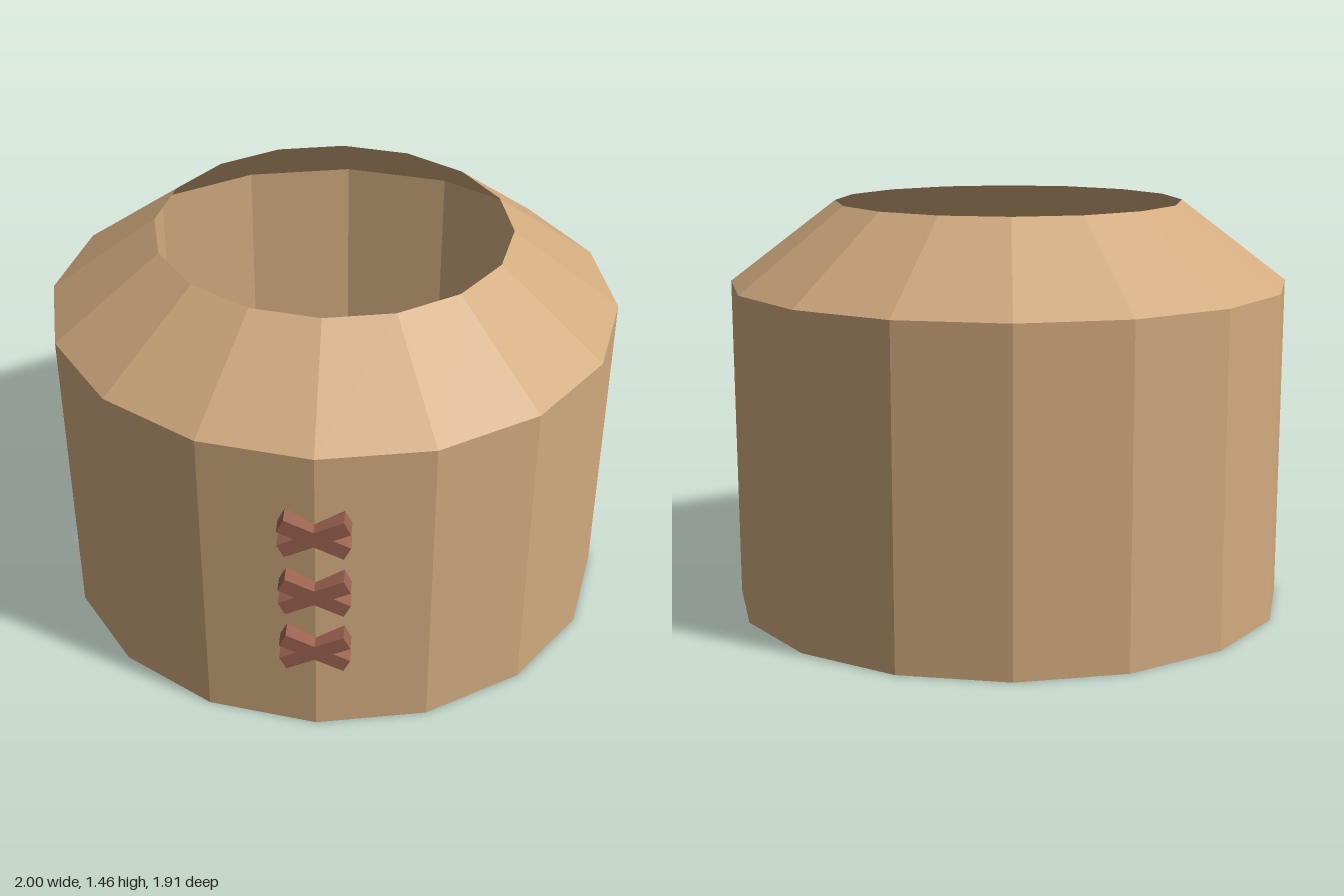
import * as THREE from 'three';

const SIDES = 16;
const DEPTH = 0.935;     // the ring is slightly flattened front to back
const OFFSET_Z = -0.022; // leaves room for the stitches in front

export function createModel() {
  const model = new THREE.Group();
  model.name = 'stitchedCollar';

  const leather = new THREE.MeshStandardMaterial({ color: 0xd2ab7f, flatShading: true, side: THREE.DoubleSide });
  leather.name = 'tan leather';
  const thread = new THREE.MeshStandardMaterial({ color: 0x9b6350, flatShading: true });
  thread.name = 'red brown thread';

  // Open, single-layer faceted bands
  function band(name, topRadius, bottomRadius, y0, y1) {
    const geometry = new THREE.CylinderGeometry(topRadius, bottomRadius, y1 - y0, SIDES, 1, true);
    geometry.scale(1, 1, DEPTH);
    geometry.translate(0, (y0 + y1) / 2, OFFSET_Z);
    const mesh = new THREE.Mesh(geometry, leather);
    mesh.name = name;
    model.add(mesh);
  }
  band('wall', 1, 1, 0, 1.17);
  band('slopedShoulder', 0.62, 1, 1.17, 1.46);

  // Three crossed stitches up the front
  const bar = new THREE.BoxGeometry(0.24, 0.054, 0.06);
  for (const y of [0.38, 0.63, 0.88]) {
    const stitch = new THREE.Group();
    stitch.name = 'crossStitch';
    stitch.position.set(0, y, 0.927);
    for (const side of [-1, 1]) {
      const mesh = new THREE.Mesh(bar, thread);
      mesh.name = side < 0 ? 'fallingBar' : 'risingBar';
      mesh.rotation.z = side * 0.45;
      stitch.add(mesh);
    }
    model.add(stitch);
  }
  return model;
}
